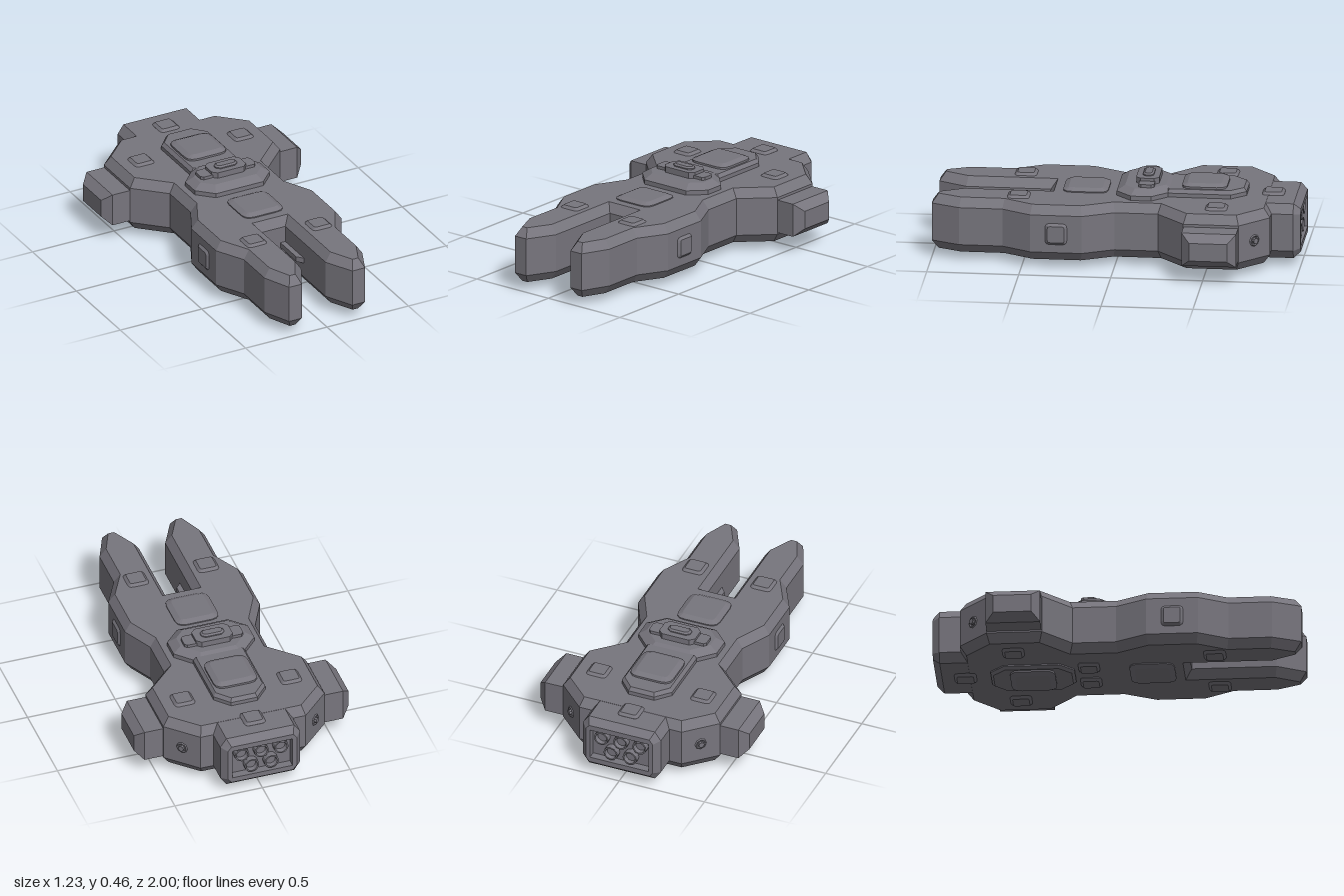
import * as THREE from 'three';

const MID = 0.2; // height of the hull's mid plane

export function createModel() {
  const model = new THREE.Group();
  model.name = 'spaceship';
  const mat = new THREE.MeshStandardMaterial({ color: 0x77757d, flatShading: true });

  function add(name, geometry, parent = model) {
    const mesh = new THREE.Mesh(geometry, mat);
    mesh.name = name;
    parent.add(mesh);
    return mesh;
  }

  // mirrors a half outline of [x, z] points across x = 0
  const mirrored = half => [...half, ...half.map(([x, z]) => [-x, z]).reverse()];
  const outline = pts => new THREE.Shape(pts.map(([x, z]) => new THREE.Vector2(x, -z)));

  // upright slab with chamfered top and bottom rims
  function slab(shape, y0, y1, inset, chamfer) {
    const g = new THREE.ExtrudeGeometry(shape, {
      depth: y1 - y0 - 2 * chamfer, bevelEnabled: chamfer > 0, bevelSegments: 1,
      bevelSize: inset, bevelOffset: -inset, bevelThickness: chamfer, curveSegments: 3
    });
    return g.rotateX(-Math.PI / 2).translate(0, y0 + chamfer, 0);
  }

  function roundedSquare(s, r) {
    const h = s / 2, shape = new THREE.Shape();
    shape.moveTo(h - r, -h).quadraticCurveTo(h, -h, h, -h + r);
    shape.lineTo(h, h - r).quadraticCurveTo(h, h, h - r, h);
    shape.lineTo(-h + r, h).quadraticCurveTo(-h, h, -h, h - r);
    shape.lineTo(-h, -h + r).quadraticCurveTo(-h, -h, -h + r, -h);
    return shape;
  }

  // pad standing proud of its base by rise, sunk below it
  const padGeometry = (s, rise) => slab(roundedSquare(s, s * 0.22), -0.03, rise, s * 0.12, Math.min(rise, 0.014));

  // loft of chamfered rectangles, each [z, halfWidth, halfHeight, cutX, cutY], toward -z
  function loft(rings) {
    const pos = [], idx = [];
    for (const [z, w, h, cx, cy] of rings) {
      for (const [x, y] of [[w, -h + cy], [w, h - cy], [w - cx, h], [-w + cx, h],
        [-w, h - cy], [-w, -h + cy], [-w + cx, -h], [w - cx, -h]]) pos.push(x, y, z);
    }
    for (let i = 0; i < rings.length - 1; i++) {
      for (let j = 0; j < 8; j++) {
        const a = i * 8 + j, b = i * 8 + (j + 1) % 8;
        idx.push(a, a + 8, b + 8, a, b + 8, b);
      }
    }
    const e = (rings.length - 1) * 8;
    for (let j = 1; j < 7; j++) idx.push(0, j, j + 1, e, e + j + 1, e + j);
    const g = new THREE.BufferGeometry();
    g.setAttribute('position', new THREE.Float32BufferAttribute(pos, 3));
    g.setIndex(idx);
    const flat = g.toNonIndexed();
    flat.computeVertexNormals();
    return flat;
  }

  // main hull with two forward prongs
  add('hull', slab(outline(mirrored([
    [0.3, -0.845], [0.46, -0.69], [0.46, -0.39], [0.3, -0.235], [0.3, 0], [0.385, 0.17],
    [0.385, 0.45], [0.3, 0.61], [0.3, 0.845], [0.233, 1], [0.155, 1], [0.075, 0.845], [0.075, 0.385]
  ])), 0.045, 0.355, 0.035, 0.05));

  // engine housing with a recessed rear bay
  add('engineHousing', loft([
    [-0.75, 0.228, 0.154, 0.035, 0.05], [-0.962, 0.228, 0.154, 0.035, 0.05],
    [-1, 0.196, 0.12, 0.02, 0.025], [-1, 0.172, 0.09, 0, 0], [-0.955, 0.172, 0.09, 0, 0]
  ])).position.y = MID;

  // nozzles: three above two
  const nozzle = new THREE.LatheGeometry(
    [[0.041, 0], [0.041, 0.035], [0.033, 0.035], [0.028, 0.012], [0, 0.012]]
      .map(p => new THREE.Vector2(...p)), 12).rotateX(-Math.PI / 2);
  for (const [row, count] of [[0.042, 3], [-0.042, 2]]) {
    for (let i = 0; i < count; i++) {
      add('engineNozzle', nozzle).position.set((i - (count - 1) / 2) * 0.112, MID + row, -0.955);
    }
  }

  // paired side parts
  for (const side of [1, -1]) {
    const pod = add('sidePod', loft([
      [-0.42, 0.148, 0.093, 0, 0], [-0.567, 0.148, 0.093, 0, 0], [-0.613, 0.103, 0.05, 0, 0]
    ]));
    pod.rotation.y = -side * Math.PI / 2;
    pod.position.set(0, 0.197, -0.54);

    const sidePad = add('sidePad', padGeometry(0.12, 0.012));
    sidePad.rotation.z = -side * Math.PI / 2;
    sidePad.position.set(side * 0.385, MID, 0.31);

    // round port on the rear shoulder
    const port = new THREE.Group();
    port.name = 'shoulderPort';
    port.position.set(side * 0.38, MID, -0.768);
    port.rotation.y = side * Math.PI * 0.755;
    model.add(port);
    add('portRim', new THREE.TorusGeometry(0.028, 0.006, 4, 8), port);
    add('portCore', new THREE.CylinderGeometry(0.016, 0.016, 0.03, 8).rotateX(Math.PI / 2), port);

    // short barrel inside the slot
    add('slotBarrel', slab(outline([
      [side * 0.085, 0.37], [side * 0.085, 0.6], [side * 0.075, 0.6], [side * 0.045, 0.565], [side * 0.045, 0.37]
    ]), 0.182, 0.212, 0, 0));
  }

  // pads shared by the top and the underside: [x, z, size, rise]
  const pads = [[0, -0.835, 0.12, 0.014], [0.305, -0.555, 0.118, 0.014], [-0.305, -0.555, 0.118, 0.014],
    [0.2, 0.53, 0.12, 0.014], [-0.2, 0.53, 0.12, 0.014], [0, 0.18, 0.245, 0.02]];
  const lowerPads = [...pads, [0.095, -0.16, 0.115, 0.018], [-0.095, -0.16, 0.115, 0.018]];
  for (const [x, z, s, rise] of pads) add('topPad', padGeometry(s, rise)).position.set(x, 0.355, z);
  for (const [x, z, s, rise] of lowerPads) {
    const pad = add('bottomPad', padGeometry(s, rise));
    pad.rotation.z = Math.PI;
    pad.position.set(x, 0.045, z);
  }

  // stepped centre plates above and below
  const plate = outline(mirrored([[0.075, -0.695], [0.148, -0.615], [0.148, -0.27], [0.1, -0.25]]));
  add('topPlate', slab(plate, 0.3, 0.397, 0.015, 0.02));
  add('topHatch', padGeometry(0.245, 0.025)).position.set(0, 0.397, -0.467);
  const lowerPlate = outline(mirrored([[0.075, -0.695], [0.148, -0.62], [0.148, -0.315], [0.075, -0.24]]));
  add('bottomPlate', slab(lowerPlate, 0.023, 0.1, 0.015, 0.015));
  const hatch = add('bottomHatch', padGeometry(0.245, 0.023));
  hatch.rotation.z = Math.PI;
  hatch.position.set(0, 0.023, -0.467);

  // bridge deck and its stepped tower
  add('bridgeDeck', slab(outline(mirrored([
    [0.12, -0.305], [0.23, -0.19], [0.23, -0.08], [0.145, 0.005]
  ])), 0.32, 0.41, 0.045, 0.03));
  add('bridgeWings', slab(outline(mirrored([
    [0.155, -0.2], [0.168, -0.185], [0.168, -0.13], [0.155, -0.115]
  ])), 0.39, 0.427, 0, 0));
  add('bridgeTower', slab(outline(mirrored([
    [0.08, -0.22], [0.105, -0.195], [0.105, -0.12], [0.08, -0.095]
  ])), 0.39, 0.443, 0, 0));
  add('bridgeCap', slab(outline(mirrored([
    [0.045, -0.187], [0.065, -0.17], [0.065, -0.145], [0.045, -0.128]
  ])), 0.42, 0.457, 0.01, 0.008));

  return model;
}
